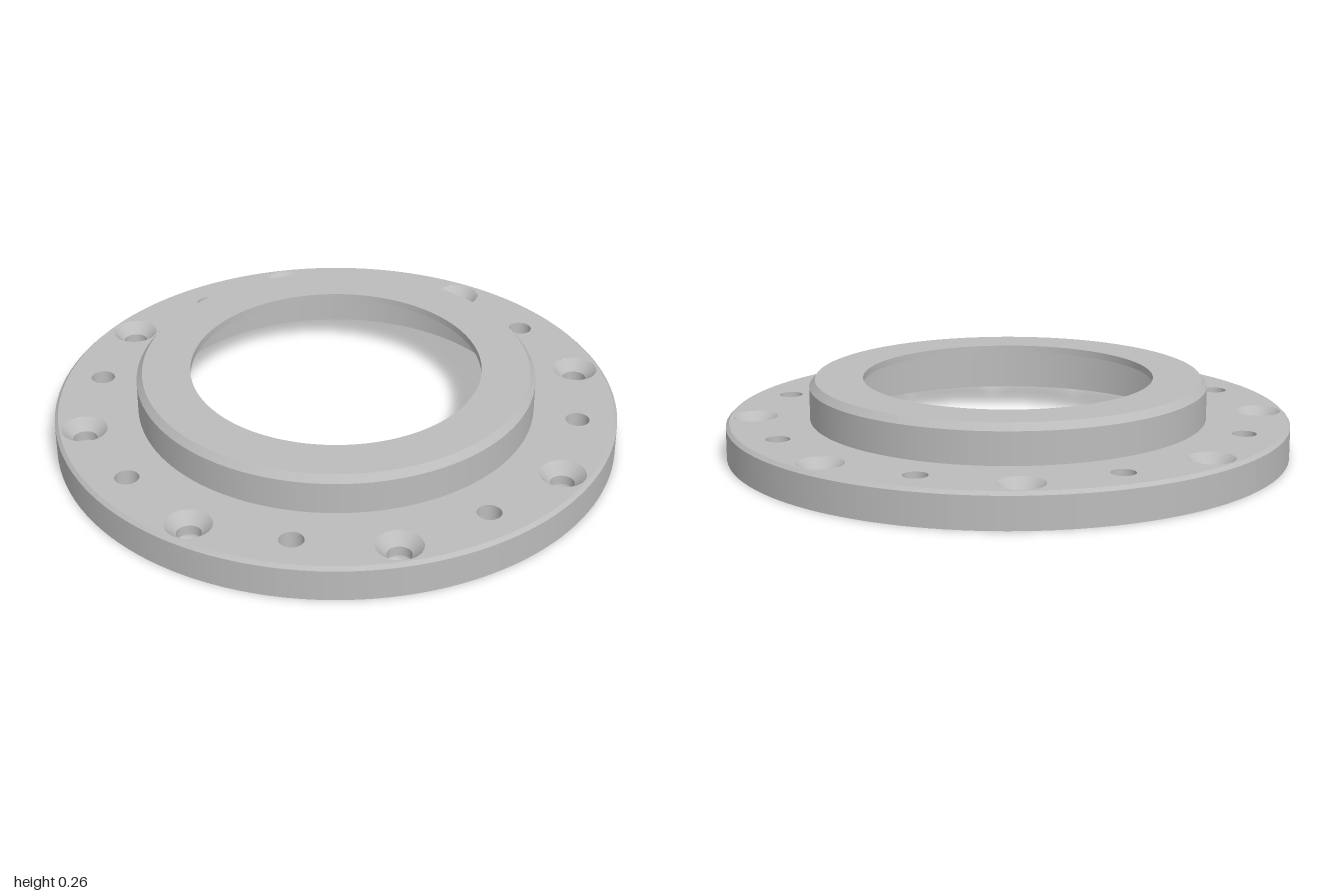
import * as THREE from 'three';
import { mergeGeometries } from 'three/addons/utils/BufferGeometryUtils.js';

const SEG = 128;
const BOLT_R = 0.9, PLAIN_R = 0.861, HOLE = 0.042, SINK = 0.08;
const TOP = 0.125, RECESS = 0.052;

// Revolve a profile one segment at a time so every edge stays crisp.
function turned(points, segments = SEG) {
  const bands = [];
  for (let i = 0; i + 1 < points.length; i++) {
    const pair = [points[i], points[i + 1]].map(([r, y]) => new THREE.Vector2(r, y));
    bands.push(new THREE.LatheGeometry(pair, segments));
  }
  return mergeGeometries(bands);
}

// Centres of the eight holes on a pitch circle.
function pitch(radius, offset) {
  return Array.from({ length: 8 }, (_, i) => {
    const a = offset + (i * Math.PI) / 4;
    return [radius * Math.cos(a), radius * Math.sin(a)];
  });
}

// Flat ring drilled with both hole patterns, facing up or down.
function drilledRing(inner, outer, boltHole, y, up) {
  const shape = new THREE.Shape().absarc(0, 0, outer, 0, Math.PI * 2);
  const cut = (x, z, r) => shape.holes.push(new THREE.Path().absarc(x, z, r, 0, Math.PI * 2, true));
  cut(0, 0, inner);
  pitch(BOLT_R, 0).forEach(([x, z]) => cut(x, z, boltHole));
  pitch(PLAIN_R, Math.PI / 8).forEach(([x, z]) => cut(x, z, HOLE));
  const geo = new THREE.ShapeGeometry(shape, 64);
  geo.rotateX(up ? -Math.PI / 2 : Math.PI / 2);
  return geo.translate(0, y, 0);
}

export function createModel() {
  const model = new THREE.Group();
  model.name = 'flangeRing';
  const steel = new THREE.MeshStandardMaterial({ color: 0xbcbcbc });
  steel.name = 'machinedGrey';

  const add = (name, geo, x = 0, z = 0) => {
    const mesh = new THREE.Mesh(geo, steel);
    mesh.name = name;
    mesh.position.set(x, 0, z);
    model.add(mesh);
  };

  // Raised hub with chamfered top, thin inner lip and stepped underside
  add('hub', turned([
    [0.705, TOP], [0.705, 0.24], [0.685, 0.265], [0.515, 0.265], [0.515, 0.24],
    [0.615, 0.24], [0.615, 0.235], [0.665, 0.235], [0.665, 0.07], [0.775, 0.07], [0.775, RECESS],
  ]));

  // Outer rim, with a narrow skirt below and a small chamfer above
  add('outerRim', turned([[0.98, RECESS], [0.98, 0], [1, 0], [1, 0.113], [0.988, TOP]]));

  // Drilled flange faces
  add('flangeTop', drilledRing(0.705, 0.988, SINK, TOP, true));
  add('flangeUnderside', drilledRing(0.775, 0.98, HOLE, RECESS, false));

  // Hole walls
  const sinkWall = turned([[SINK, TOP], [HOLE, TOP - (SINK - HOLE)], [HOLE, RECESS]], 64);
  const plainWall = turned([[HOLE, TOP], [HOLE, RECESS]], 64);
  pitch(BOLT_R, 0).forEach(([x, z]) => add('countersunkHole', sinkWall, x, z));
  pitch(PLAIN_R, Math.PI / 8).forEach(([x, z]) => add('plainHole', plainWall, x, z));

  return model;
}
